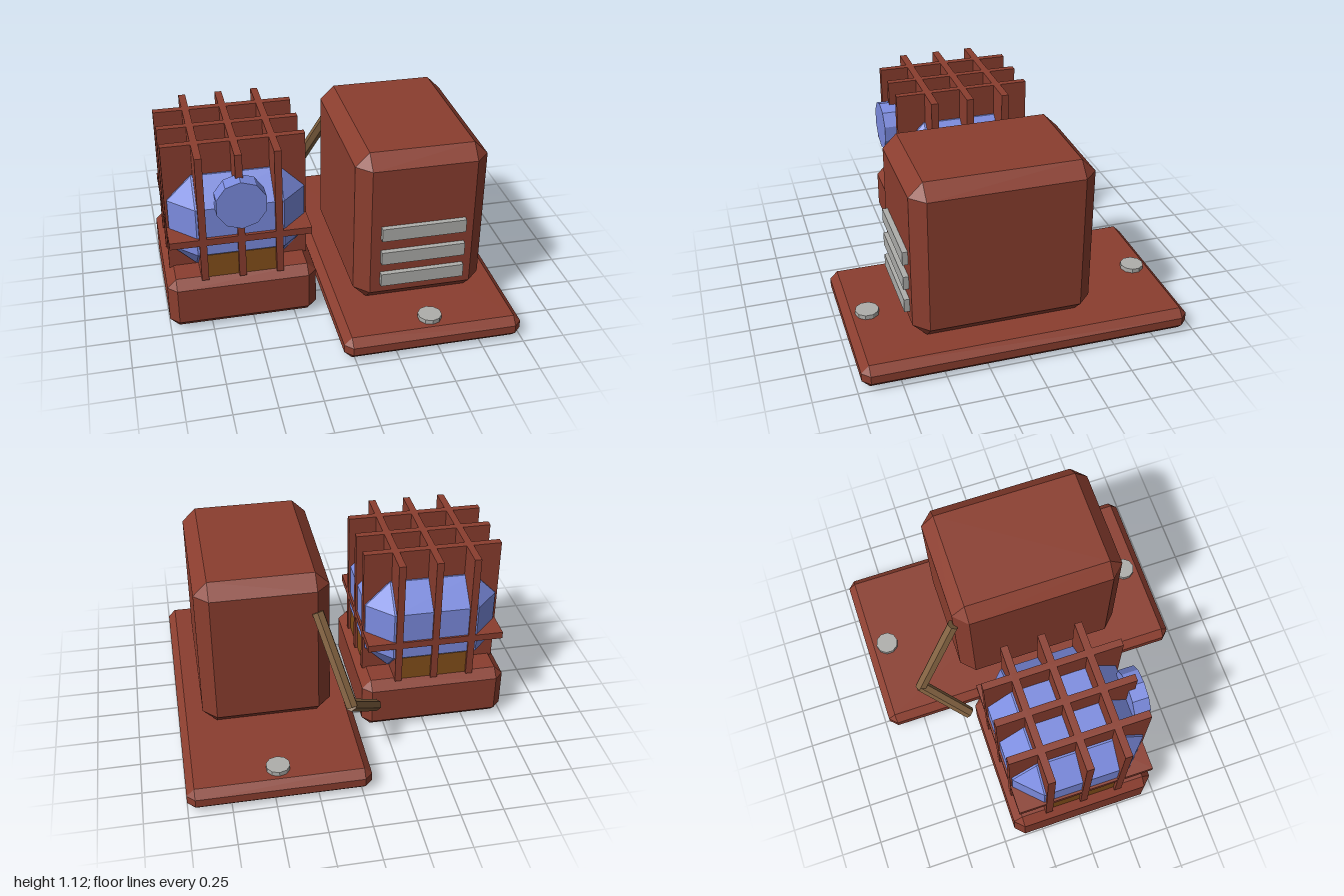
import * as THREE from 'three';
import { ConvexGeometry } from 'three/addons/geometries/ConvexGeometry.js';

const material = (name, color) => {
  const m = new THREE.MeshStandardMaterial({ color, flatShading: true });
  m.name = name;
  return m;
};

// Box given by its limits, with every edge cut by a flat chamfer c
function chamferBox([x0, x1], [y0, y1], [z0, z1], c) {
  const centre = new THREE.Vector3(x0 + x1, y0 + y1, z0 + z1).multiplyScalar(0.5);
  const half = [(x1 - x0) / 2, (y1 - y0) / 2, (z1 - z0) / 2];
  const points = [];
  for (const sx of [-1, 1]) for (const sy of [-1, 1]) for (const sz of [-1, 1])
    for (let axis = 0; axis < 3; axis++) {
      const p = [sx, sy, sz].map((s, i) => s * (half[i] - (i === axis ? 0 : c)));
      points.push(new THREE.Vector3(...p).add(centre));
    }
  return new ConvexGeometry(points);
}

function box([x0, x1], [y0, y1], [z0, z1]) {
  return new THREE.BoxGeometry(x1 - x0, y1 - y0, z1 - z0)
    .translate((x0 + x1) / 2, (y0 + y1) / 2, (z0 + z1) / 2);
}

export function createModel() {
  const red = material('rust red', 0x8b3e2f);
  const blue = material('tank blue', 0x7c8ce0);
  const grey = material('metal grey', 0xaeaeab);
  const tan = material('pipe tan', 0x80603f);
  const brown = material('dark amber', 0x85501a);

  const model = new THREE.Group();
  const add = (name, geometry, mat, parent = model) => {
    const mesh = new THREE.Mesh(geometry, mat);
    mesh.name = name;
    parent.add(mesh);
    return mesh;
  };

  // Machine housing on its floor plate
  add('floorPlate', chamferBox([-0.06, 1], [0, 0.14], [-0.97, 0.97], 0.045), red);
  add('housing', chamferBox([0.08, 0.855], [0.138, 1.115], [-0.42, 0.635], 0.082), red);
  for (const y of [0.32, 0.47, 0.63])
    add('ventSlat', box([0.22, 0.72], [y - 0.041, y + 0.041], [0.6, 0.667]), grey);
  for (const z of [-0.835, 0.835])
    add('bolt', new THREE.CylinderGeometry(0.07, 0.07, 0.04, 10).translate(0.47, 0.147, z), grey);

  // Tank on its own plinth
  const cx = -0.555, cz = 0.022;
  add('tankBase', chamferBox([-1, -0.115], [0, 0.33], [-0.42, 0.465], 0.053), red);
  add('tank', chamferBox([cx - 0.4, cx + 0.4], [0.338, 0.932], [cz - 0.4, cz + 0.4], 0.145), blue);
  add('tankValve', new THREE.CylinderGeometry(0.15, 0.15, 0.1, 10).rotateX(Math.PI / 2)
    .translate(cx, 0.835, 0.452), blue);

  // Crossed blocks holding the tank
  for (const [hx, hz] of [[0.23, 0.395], [0.395, 0.23]])
    add('tankSupport', box([cx - hx, cx + hx], [0.32, 0.475], [cz - hz, cz + hz]), brown);

  // Cage of crossing plates
  const cage = new THREE.Group();
  cage.name = 'cage';
  model.add(cage);
  const cageX = [-0.97, -0.143], cageY = [0.32, 1.125], cageZ = [-0.39, 0.442];
  for (const d of [-0.222, 0, 0.222]) {
    add('lengthwisePlate', box([cx + d - 0.021, cx + d + 0.021], cageY, cageZ), red, cage);
    add('crosswisePlate', box(cageX, cageY, [cz + d - 0.022, cz + d + 0.022]), red, cage);
  }
  add('levelPlate', box(cageX, [0.557, 0.6], cageZ), red, cage);

  // Bent pipe joining the tank base and the housing
  const bend = [[0.16, 0.89, -0.425], [0.02, 0.43, -0.705], [-0.175, 0.22, -0.47]]
    .map(p => new THREE.Vector3(...p));
  for (let i = 0; i < 2; i++) {
    const a = bend[i], b = bend[i + 1];
    const dir = b.clone().sub(a);
    const pipe = add('pipe', new THREE.CylinderGeometry(0.037, 0.037, dir.length() + 0.02, 6), tan);
    pipe.position.copy(a).add(b).multiplyScalar(0.5);
    pipe.quaternion.setFromUnitVectors(new THREE.Vector3(0, 1, 0), dir.normalize());
  }
  return model;
}
